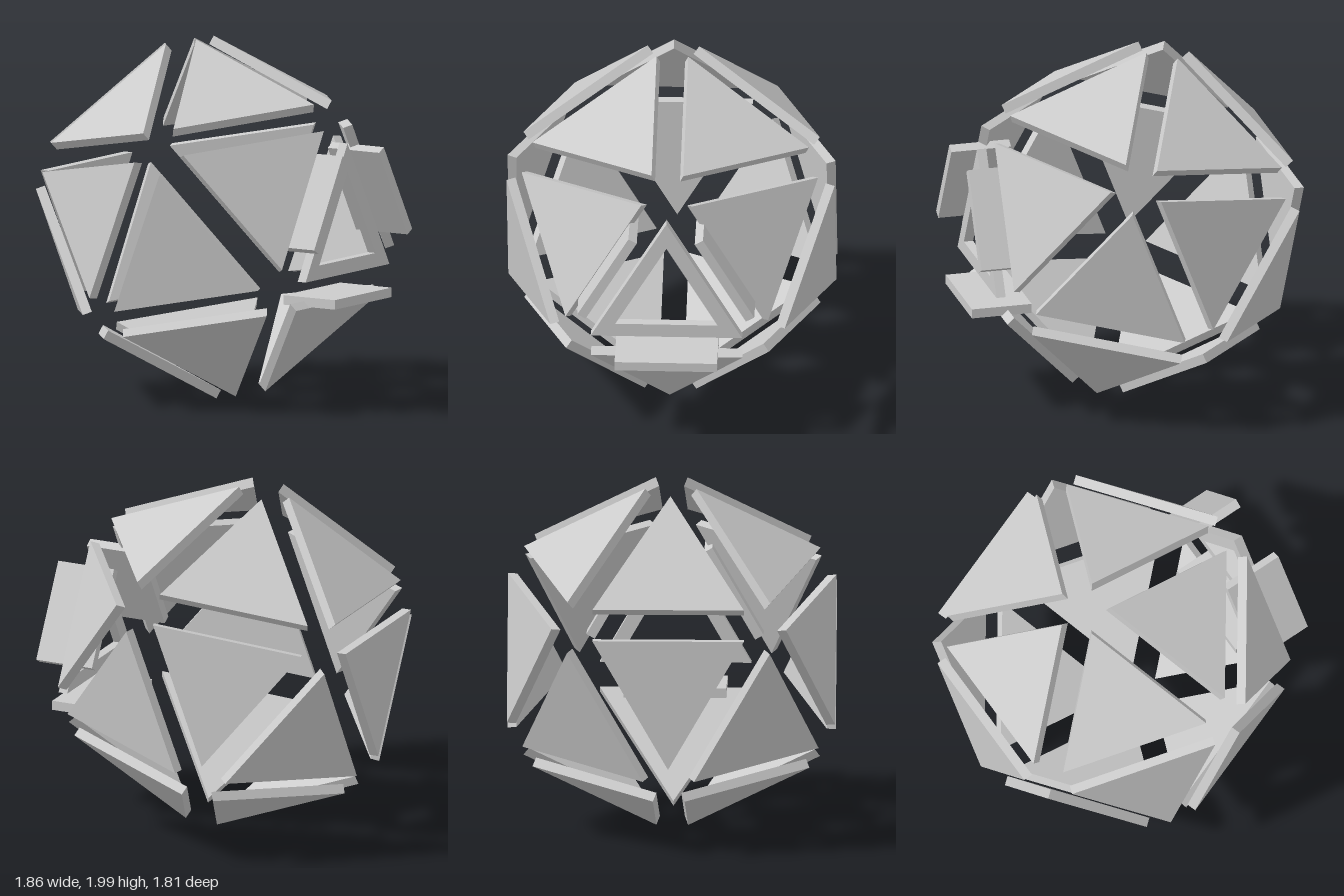
import * as THREE from 'three';

const CENTRE = new THREE.Vector3(-0.055, 1.004, 0);
const OUTER = 0.878;      // distance from centre to a panel's outer face
const THICK = 0.053;
const PANEL_R = 0.483;    // centroid to corner
const HOLE_R = 0.326;

const material = new THREE.MeshStandardMaterial({ color: 0xcccccc, flatShading: true });

function trianglePoints(r) {
  return [0, 1, 2].map((k) => {
    const a = Math.PI / 2 + (k * 2 * Math.PI) / 3;
    return new THREE.Vector2(r * Math.cos(a), r * Math.sin(a));
  });
}

// Triangular slab, optionally hollow, set out along +z
function slabGeometry(holeRadius) {
  const shape = new THREE.Shape(trianglePoints(PANEL_R));
  if (holeRadius) shape.holes.push(new THREE.Path(trianglePoints(holeRadius).reverse()));
  return new THREE.ExtrudeGeometry(shape, { depth: THICK, bevelEnabled: false })
    .translate(0, 0, OUTER - THICK);
}

// Outward normal and one corner direction for each icosahedron face
function icosahedronFaces() {
  const pos = new THREE.IcosahedronGeometry(1, 0).toNonIndexed().attributes.position;
  const faces = [];
  for (let i = 0; i < pos.count; i += 3) {
    const [a, b, c] = [0, 1, 2].map((k) => new THREE.Vector3().fromBufferAttribute(pos, i + k));
    const mid = a.clone().add(b).add(c).divideScalar(3);
    faces.push({ normal: mid.clone().normalize(), up: a.clone().sub(mid).normalize() });
  }
  return faces;
}

function faceBasis({ normal, up }) {
  return new THREE.Matrix4().makeBasis(up.clone().cross(normal), up, normal);
}

export function createModel() {
  const model = new THREE.Group();
  model.name = 'panelledIcosahedron';
  const shell = new THREE.Group();
  shell.name = 'shell';
  shell.position.copy(CENTRE);
  model.add(shell);

  // Turn the solid so its first face looks along +x with a corner up
  const faces = icosahedronFaces();
  const align = new THREE.Matrix4().makeRotationY(Math.PI / 2)
    .multiply(faceBasis(faces[0]).invert());

  // Nineteen solid panels and one open frame
  const panel = slabGeometry(0);
  const frame = slabGeometry(HOLE_R);
  faces.forEach((face, i) => {
    const mesh = new THREE.Mesh(i === 0 ? frame : panel, material);
    mesh.name = i === 0 ? 'portFrame' : `panel${i}`;
    mesh.applyMatrix4(align.clone().multiply(faceBasis(face)));
    shell.add(mesh);
  });

  // Three flat plates standing around the open frame
  const plate = new THREE.BoxGeometry(0.341, THICK, 0.566).translate(0.811, -0.3745, 0);
  for (let k = 0; k < 3; k++) {
    const mesh = new THREE.Mesh(plate, material);
    mesh.name = `portPlate${k + 1}`;
    mesh.rotation.x = (k * 2 * Math.PI) / 3;
    shell.add(mesh);
  }
  return model;
}
